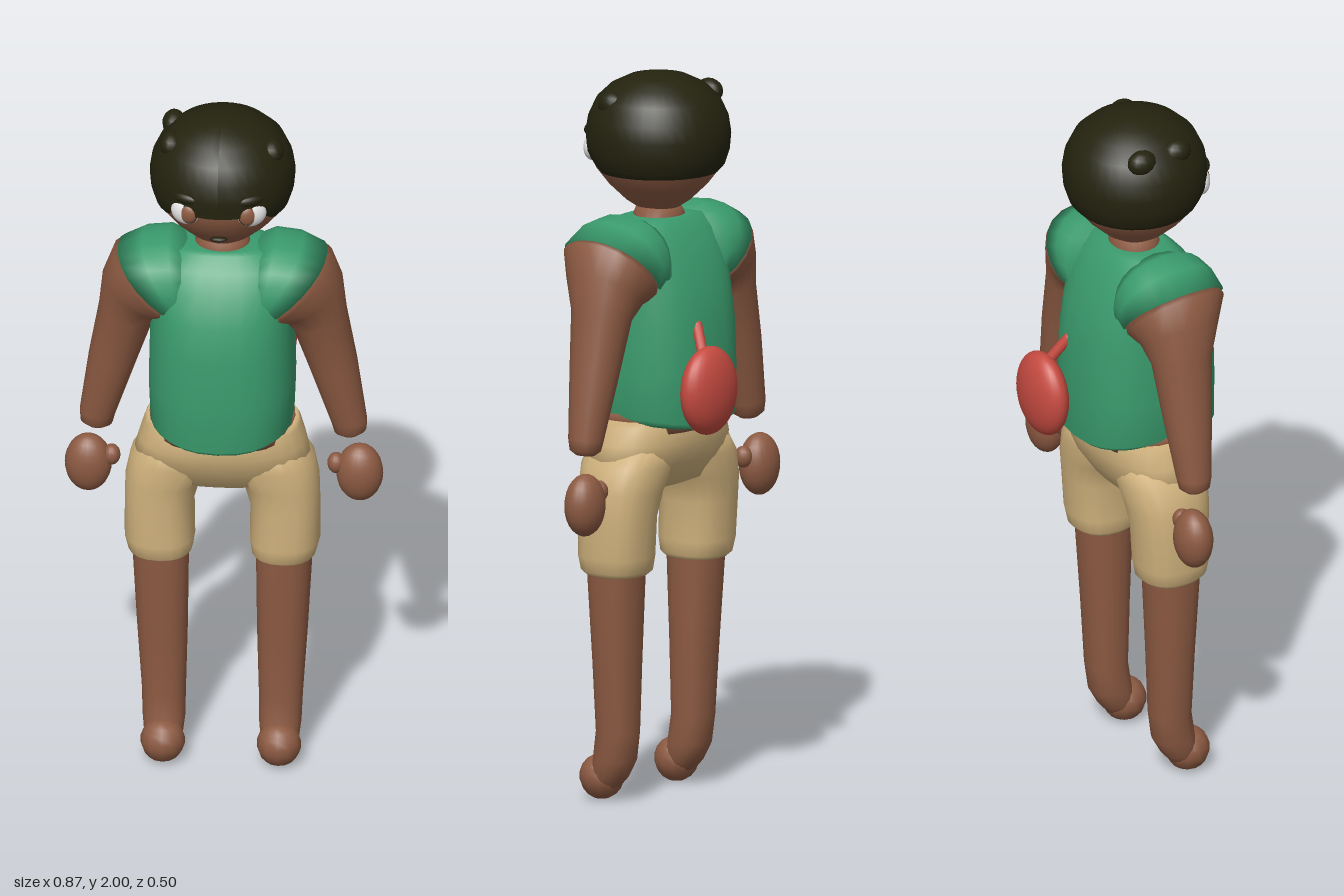
import * as THREE from 'three';

const mat = (name, color) => {
  const m = new THREE.MeshStandardMaterial({ color });
  m.name = name;
  return m;
};

// Skin of rings; each ring is { c: centre, u: axis in the xy plane, h: half size on u, d: half depth in z }.
// Power p squares the section off; s = -1 mirrors in x.
function loft(rings, n = 20, p = 1, s = 1) {
  const pos = [], idx = [];
  const pow = (t) => Math.sign(t) * Math.abs(t) ** p;
  for (const { c, u = [1, 0], h, d } of rings) {
    for (let i = 0; i < n; i++) {
      const a = (i / n) * Math.PI * 2;
      const k = pow(Math.cos(a)) * h, l = Math.hypot(u[0], u[1]);
      pos.push(s * (c[0] + (u[0] / l) * k), c[1] + (u[1] / l) * k, c[2] + pow(Math.sin(a)) * d);
    }
  }
  const R = rings.length, first = R * n, last = first + 1;
  for (const r of [rings[0], rings[R - 1]]) pos.push(s * r.c[0], r.c[1], r.c[2]);
  for (let i = 0; i < n; i++) {
    const j = (i + 1) % n;
    for (let r = 0; r < R - 1; r++) {
      const a = r * n + i, b = r * n + j;
      idx.push(a, a + n, b, b, a + n, b + n);
    }
    idx.push(first, i, j, last, (R - 1) * n + j, (R - 1) * n + i);
  }
  // Turn the faces outward, judged by the enclosed volume
  const P = (i) => new THREE.Vector3().fromArray(pos, i * 3);
  let vol = 0;
  for (let i = 0; i < idx.length; i += 3) vol += P(idx[i]).dot(P(idx[i + 1]).cross(P(idx[i + 2])));
  if (vol < 0) idx.reverse();
  const g = new THREE.BufferGeometry();
  g.setAttribute('position', new THREE.Float32BufferAttribute(pos, 3));
  g.setIndex(idx);
  g.computeVertexNormals();
  return g;
}

// Level rings from rows of [y, half width, front z, back z, centre x]
const level = (rows) => rows.map(([y, h, f, b, x = 0]) => ({ c: [x, y, (f + b) / 2], h, d: (f - b) / 2 }));

export function createModel() {
  const skin = mat('skin brown', 0x8c5a42);
  const shirt = mat('shirt green', 0x3a9b6d);
  const sand = mat('shorts sand', 0xd0b27d);
  const dark = mat('hair dark', 0x24230f);
  const red = mat('pouch red', 0xc44a40);
  const white = mat('eye white', 0xeeeeee);

  const model = new THREE.Group();
  const add = (name, geo, material) => {
    const m = new THREE.Mesh(geo, material);
    m.name = name;
    model.add(m);
    return m;
  };
  const blob = (name, material, c, r, seg = 20) => {
    const m = add(name, new THREE.SphereGeometry(1, seg, Math.ceil(seg * 0.7)), material);
    m.position.set(...c);
    m.scale.set(...r);
    return m;
  };

  // Head
  const profile = (pts) => pts.map(([r, y]) => new THREE.Vector2(r, y));
  const head = add('head', new THREE.LatheGeometry(profile([
    [0, 1.605], [0.03, 1.612], [0.09, 1.652], [0.135, 1.695], [0.17, 1.74], [0.187, 1.79], [0.185, 1.87], [0, 1.95],
  ]), 32), skin);
  head.position.z = 0.045;

  // Hair cap, its rim raised over the face
  const hairGeo = new THREE.LatheGeometry(profile([
    [0.165, 1.732], [0.181, 1.75], [0.194, 1.79], [0.198, 1.835], [0.191, 1.88], [0.168, 1.93],
    [0.13, 1.966], [0.08, 1.99], [0.035, 1.999], [0, 2],
  ]), 40);
  const hp = hairGeo.attributes.position;
  for (let i = 0; i < hp.count; i++) {
    const x = hp.getX(i), y = hp.getY(i), z = hp.getZ(i);
    const front = THREE.MathUtils.smoothstep(z, 0.07, 0.15);
    if (y < 1.8 && front > 0) {
      const ny = y + (1.81 - y) * 0.7 * front, k = 1 + (0.195 / Math.hypot(x, z) - 1) * front;
      hp.setXYZ(i, x * k, ny, z * k);
    }
  }
  hairGeo.computeVertexNormals();
  const hairMat = dark;
  hairMat.side = THREE.DoubleSide;
  add('hair', hairGeo, hairMat).position.z = 0.045;
  for (const [x, y, z] of [[-0.137, 1.935, -0.02], [-0.136, 1.935, 0.093], [0.138, 1.925, 0.095]]) {
    blob('hairCurl', dark, [x, y, z], [0.032, 0.035, 0.042], 14);
  }

  // Face
  for (const s of [-1, 1]) {
    blob('eyeWhite', white, [s * 0.09, 1.788, 0.2], [0.042, 0.038, 0.025]).rotation.y = s * 0.4;
    blob('pupilRim', dark, [s * 0.083, 1.789, 0.214], [0.029, 0.031, 0.014]).rotation.y = s * 0.35;
    blob('iris', skin, [s * 0.082, 1.789, 0.217], [0.026, 0.028, 0.014]).rotation.y = s * 0.35;
    blob('brow', dark, [s * 0.083, 1.835, 0.207], [0.042, 0.018, 0.022]).rotation.y = s * 0.4;
  }
  blob('mouth', dark, [0, 1.695, 0.187], [0.024, 0.007, 0.012], 12);

  // Neck and waist
  add('neck', loft(level([[1.55, 0.085, 0.12, -0.03], [1.61, 0.075, 0.11, -0.025], [1.64, 0.06, 0.1, -0.01]])), skin);
  add('waist', loft(level([[1.03, 0.2, 0.2, -0.1], [1.085, 0.197, 0.2, -0.1]]), 24, 0.85), skin);

  // Shirt body with the hem curving up at the sides
  const body = loft(level([
    [1.04, 0.175, 0.235, -0.135], [1.055, 0.195, 0.25, -0.152], [1.2, 0.2, 0.25, -0.152], [1.33, 0.197, 0.247, -0.147],
    [1.43, 0.195, 0.232, -0.13], [1.51, 0.2, 0.2, -0.1], [1.57, 0.185, 0.165, -0.07], [1.605, 0.14, 0.13, -0.04],
    [1.61, 0.08, 0.115, -0.03],
  ]), 28, 0.8);
  const bp = body.attributes.position;
  for (let i = 0; i < bp.count; i++) {
    if (bp.getY(i) < 1.1) bp.setY(i, bp.getY(i) + 0.022 * (bp.getX(i) / 0.19) ** 2);
  }
  body.computeVertexNormals();
  add('shirt', body, shirt);

  const sleeve = [
    { c: [0.085, 1.5, 0.045], u: [0.1, 1], h: 0.11, d: 0.12 },
    { c: [0.12, 1.5, 0.045], u: [0.2, 0.98], h: 0.13, d: 0.145 },
    { c: [0.155, 1.505, 0.045], u: [0.5, 0.87], h: 0.128, d: 0.147 },
    { c: [0.193, 1.485, 0.045], u: [0.69, 0.72], h: 0.133, d: 0.147 },
  ];
  const arm = [
    { c: [0.19, 1.485, 0.045], u: [0.69, 0.72], h: 0.125, d: 0.14 },
    { c: [0.204, 1.475, 0.045], u: [0.69, 0.72], h: 0.135, d: 0.143 },
    { c: [0.238, 1.435, 0.036], u: [0.83, 0.55], h: 0.106, d: 0.112 },
    { c: [0.262, 1.37, 0.027], u: [0.96, 0.27], h: 0.078, d: 0.085 },
    { c: [0.3, 1.22, 0.02], u: [0.98, 0.17], h: 0.066, d: 0.068 },
    { c: [0.342, 1.04, 0.015], u: [0.99, 0.1], h: 0.049, d: 0.047 },
    { c: [0.345, 1.01, 0.015], u: [0.99, 0.1], h: 0.044, d: 0.041 },
    { c: [0.346, 0.997, 0.015], u: [0.99, 0.1], h: 0.025, d: 0.025 },
  ];
  const leg = level([
    [0.7, 0.074, 0.125, -0.025, 0.168], [0.64, 0.077, 0.13, -0.024, 0.168], [0.4, 0.069, 0.118, -0.01, 0.163],
    [0.2, 0.06, 0.112, -0.002, 0.159], [0.12, 0.058, 0.125, 0.008, 0.158], [0.07, 0.052, 0.14, 0.035, 0.158],
    [0.04, 0.035, 0.14, 0.06, 0.158],
  ]);
  const shortLeg = level([
    [0.638, 0.078, 0.13, -0.03, 0.168], [0.65, 0.088, 0.148, -0.045, 0.168], [0.69, 0.096, 0.153, -0.052, 0.17],
    [0.8, 0.095, 0.152, -0.06, 0.171], [0.87, 0.104, 0.158, -0.07, 0.16], [0.94, 0.12, 0.165, -0.078, 0.13],
    [1.0, 0.1, 0.16, -0.07, 0.11],
  ]);

  // Limbs, mirrored
  for (const s of [1, -1]) {
    const side = s > 0 ? 'left' : 'right';
    add(side + 'Sleeve', loft(sleeve, 20, 0.9, s), shirt);
    add(side + 'Arm', loft(arm, 20, 0.95, s), skin);
    blob(side + 'Hand', skin, [s * 0.369, 0.865, -0.004], [0.064, 0.086, 0.051]);
    blob(side + 'Thumb', skin, [s * 0.305, 0.893, 0.0], [0.024, 0.03, 0.026], 14);
    add(side + 'Leg', loft(leg, 20, 0.9, s), skin);
    blob(side + 'Foot', skin, [s * 0.158, 0.068, 0.113], [0.061, 0.063, 0.062], 12);
    add(side + 'ShortsLeg', loft(shortLeg, 20, 0.85, s), sand);
  }

  // Shorts seat
  add('shorts', loft(level([
    [0.862, 0.1, 0.1, 0], [0.88, 0.17, 0.135, -0.045], [0.94, 0.243, 0.172, -0.082], [1.0, 0.228, 0.198, -0.1],
    [1.05, 0.213, 0.19, -0.095], [1.066, 0.205, 0.18, -0.085],
  ]), 24, 0.85), sand);

  // Pouch on the back with its strap
  blob('pouch', red, [0.08, 1.163, -0.2], [0.104, 0.122, 0.053], 28);
  const path = new THREE.LineCurve3(new THREE.Vector3(0.052, 1.33, -0.135), new THREE.Vector3(0.08, 1.262, -0.178));
  add('pouchStrap', new THREE.TubeGeometry(path, 2, 0.015, 12), red);
  blob('strapTop', red, [0.052, 1.33, -0.135], [0.015, 0.015, 0.015], 12);

  return model;
}
